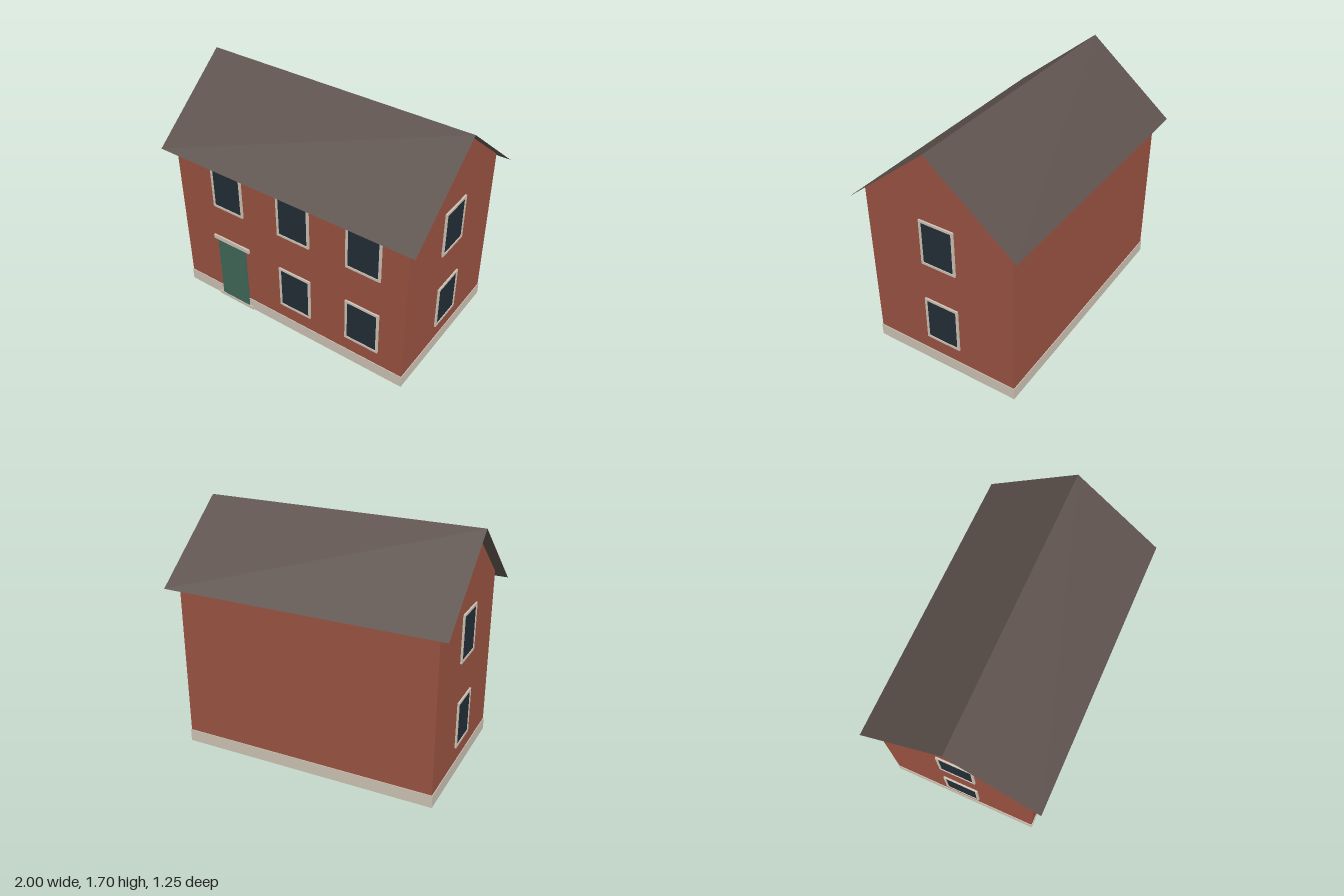
import * as THREE from 'three';

const mat = (name, color, side = THREE.FrontSide) => {
  const m = new THREE.MeshStandardMaterial({ color, side });
  m.name = name;
  return m;
};

export function createModel() {
  const house = new THREE.Group();
  house.name = 'house';
  const brick = mat('brick', 0x9a5342, THREE.DoubleSide);
  const stone = mat('stone', 0xcdc3b4);
  const slate = mat('slate', 0x5e524d, THREE.DoubleSide);
  const glass = mat('glass', 0x232d37);
  const green = mat('door green', 0x40685a);

  const W = 0.925, D = 0.55, EAVE = 1.25, RIDGE = 1.7;

  const add = (parent, name, geometry, material, x = 0, y = 0, z = 0) => {
    const mesh = new THREE.Mesh(geometry, material);
    mesh.name = name;
    mesh.position.set(x, y, z);
    parent.add(mesh);
    return mesh;
  };
  const box = (name, material, w, h, d, x, y, z) =>
    add(house, name, new THREE.BoxGeometry(w, h, d), material, x, y, z);

  // Brick walls: gabled ends and plain long sides, open under the roof
  const gable = new THREE.Shape([[-D, 0.05], [D, 0.05], [D, EAVE], [0, RIDGE - 0.002], [-D, EAVE]]
    .map(([x, y]) => new THREE.Vector2(x, y)));
  for (const s of [-1, 1]) {
    add(house, 'gableWall', new THREE.ShapeGeometry(gable), brick, s * W).rotation.y = s * Math.PI / 2;
    const wall = add(house, s > 0 ? 'frontWall' : 'backWall',
      new THREE.PlaneGeometry(2 * W, EAVE - 0.052), brick, 0, (EAVE + 0.048) / 2, s * D);
    if (s < 0) wall.rotation.y = Math.PI;
  }

  // Stone plinth
  box('plinth', stone, 1.86, 0.09, 1.11, 0, 0.045, 0);

  // Thin roof slopes overhanging the walls
  const run = 0.623, drop = 0.51;
  for (const s of [-1, 1]) {
    const slope = new THREE.PlaneGeometry(2, Math.hypot(run, drop));
    slope.rotateX(-Math.atan2(run, drop));
    if (s < 0) slope.rotateY(Math.PI);
    add(house, s > 0 ? 'frontRoof' : 'backRoof', slope, slate, 0, RIDGE - drop / 2, s * run / 2);
  }

  // Window: raised stone frame around a recessed pane
  const rect = (Type, w, h) => new Type([[-w, -h], [w, -h], [w, h], [-w, h]]
    .map(([x, y]) => new THREE.Vector2(x / 2, y / 2)));
  const outline = rect(THREE.Shape, 0.26, 0.338);
  outline.holes.push(rect(THREE.Path, 0.228, 0.304));
  const frameGeo = new THREE.ExtrudeGeometry(outline, { depth: 0.012, bevelEnabled: false });
  const paneGeo = new THREE.BoxGeometry(0.23, 0.306, 0.006);
  const addWindow = (x, y, z, turn) => {
    const win = new THREE.Group();
    win.name = 'window';
    add(win, 'windowFrame', frameGeo, stone);
    add(win, 'windowPane', paneGeo, glass, 0, 0, 0.004);
    win.position.set(x, y, z);
    win.rotation.y = turn;
    house.add(win);
  };
  for (const y of [0.375, 1.0]) {
    for (const x of [-0.49, 0.065, 0.61]) {
      if (x > 0 || y > 0.5) addWindow(x, y, D, 0);
    }
    for (const s of [-1, 1]) addWindow(s * W, y, 0, s * Math.PI / 2);
  }

  // Door with lintel and step
  box('door', green, 0.25, 0.505, 0.009, -0.49, 0.2775, 0.5555);
  box('doorLintel', stone, 0.32, 0.032, 0.014, -0.49, 0.55, 0.556);
  box('doorStep', stone, 0.32, 0.025, 0.014, -0.49, 0.0125, 0.556);

  return house;
}
